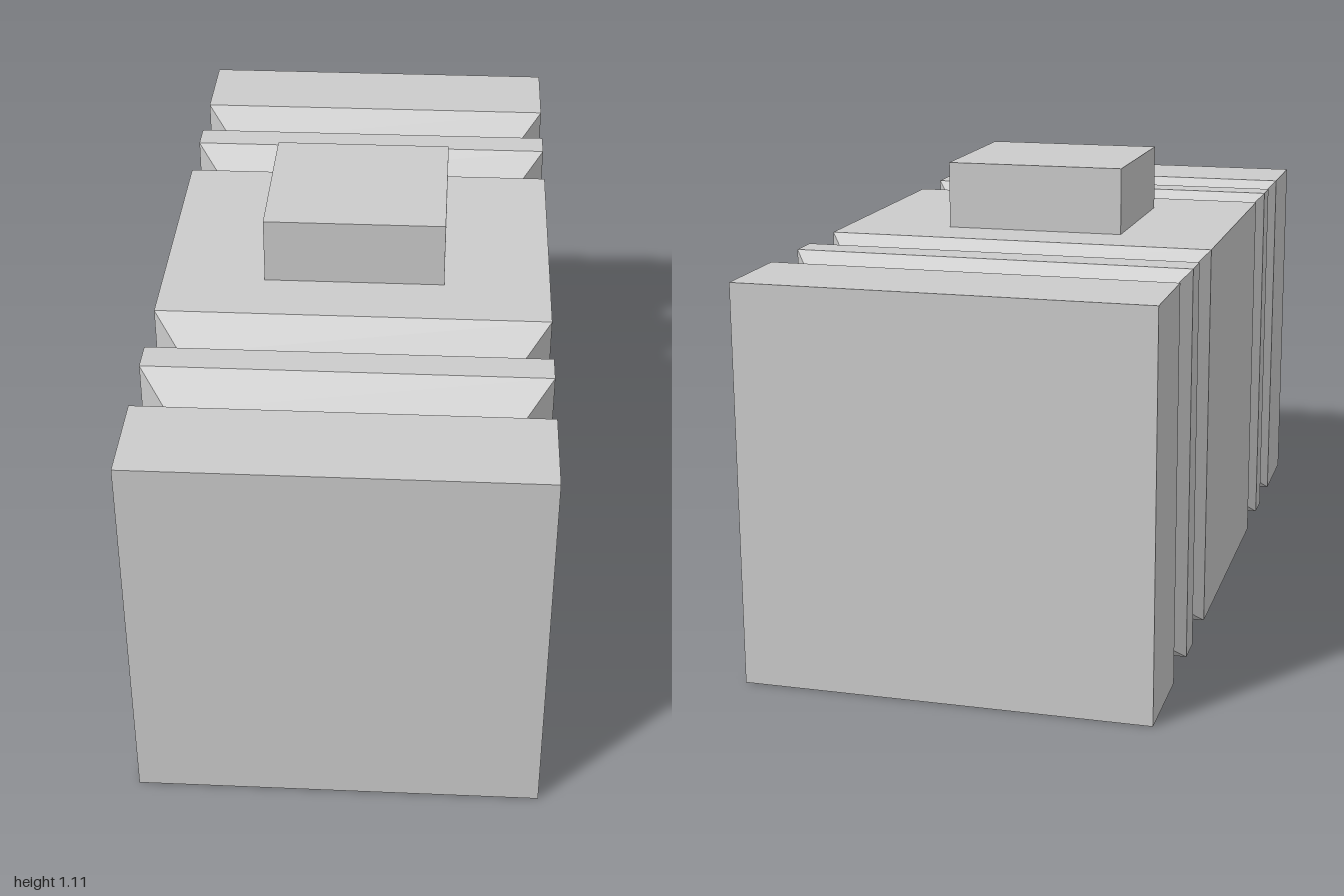
import * as THREE from 'three';

const material = new THREE.MeshStandardMaterial({ color: 0xcccccc, flatShading: true });

// Flat-shaded geometry from a list of counter-clockwise quads
function quadGeometry(quads) {
  const positions = quads.flatMap(([a, b, c, d]) => [a, b, c, a, c, d].flat());
  const geometry = new THREE.BufferGeometry();
  geometry.setAttribute('position', new THREE.Float32BufferAttribute(positions, 3));
  geometry.computeVertexNormals();
  return geometry;
}

// Quads joining two four-cornered rings
function bridge(a, b) {
  return [0, 1, 2, 3].map((k) => {
    const n = (k + 1) % 4;
    return [a[k], a[n], b[n], b[k]];
  });
}

export function createModel() {
  const group = new THREE.Group();
  const add = (name, geometry) => {
    const mesh = new THREE.Mesh(geometry, material);
    mesh.name = name;
    group.add(mesh);
    return mesh;
  };

  const halfWidth = 0.48, height = 0.945, groove = 0.07, core = 0.36;

  // Grooved body: rectangular sections along z, mirrored front to back
  const half = [[core, 0], [0.44, groove], [0.52, 0], [0.6, 0], [0.68, groove], [0.76, 0], [1, 0]];
  const profile = [...half.map(([z, inset]) => [-z, inset]).reverse(), ...half];
  const rings = profile.map(([z, inset]) => {
    const w = halfWidth - inset, y0 = inset, y1 = height - inset;
    return [[w, y0, z], [w, y1, z], [-w, y1, z], [-w, y0, z]];
  });
  const quads = [[...rings[0]].reverse(), rings[rings.length - 1]];
  for (let i = 0; i < rings.length - 1; i++) {
    const sides = bridge(rings[i], rings[i + 1]);
    // the underside of the core is left open for the socket plate
    quads.push(...(i === half.length - 1 ? sides.slice(0, 3) : sides));
  }
  add('body', quadGeometry(quads));

  // Underside of the core with a rectangular opening
  const x0 = -0.24, x1 = 0.23, z0 = -0.22, z1 = 0.23, depth = 0.4;
  const opening = [[x1, z0], [x1, z1], [x0, z1], [x0, z0]];
  const toPoints = (list) => list.map(([x, z]) => new THREE.Vector2(x, z));
  const plate = new THREE.Shape(toPoints([
    [-halfWidth, -core], [halfWidth, -core], [halfWidth, core], [-halfWidth, core],
  ]));
  plate.holes.push(new THREE.Path(toPoints(opening)));
  add('socketPlate', new THREE.ShapeGeometry(plate).rotateX(Math.PI / 2));

  // Socket walls and ceiling, facing inward
  const rim = opening.map(([x, z]) => [x, 0, z]);
  const ceiling = opening.map(([x, z]) => [x, depth, z]);
  add('socket', quadGeometry([...bridge(rim, ceiling), ceiling]));

  // Peg on top
  const pegHeight = 0.165;
  add('peg', new THREE.BoxGeometry(0.445, pegHeight, 0.42))
    .position.set(-0.004, height + pegHeight / 2, -0.006);

  return group;
}
